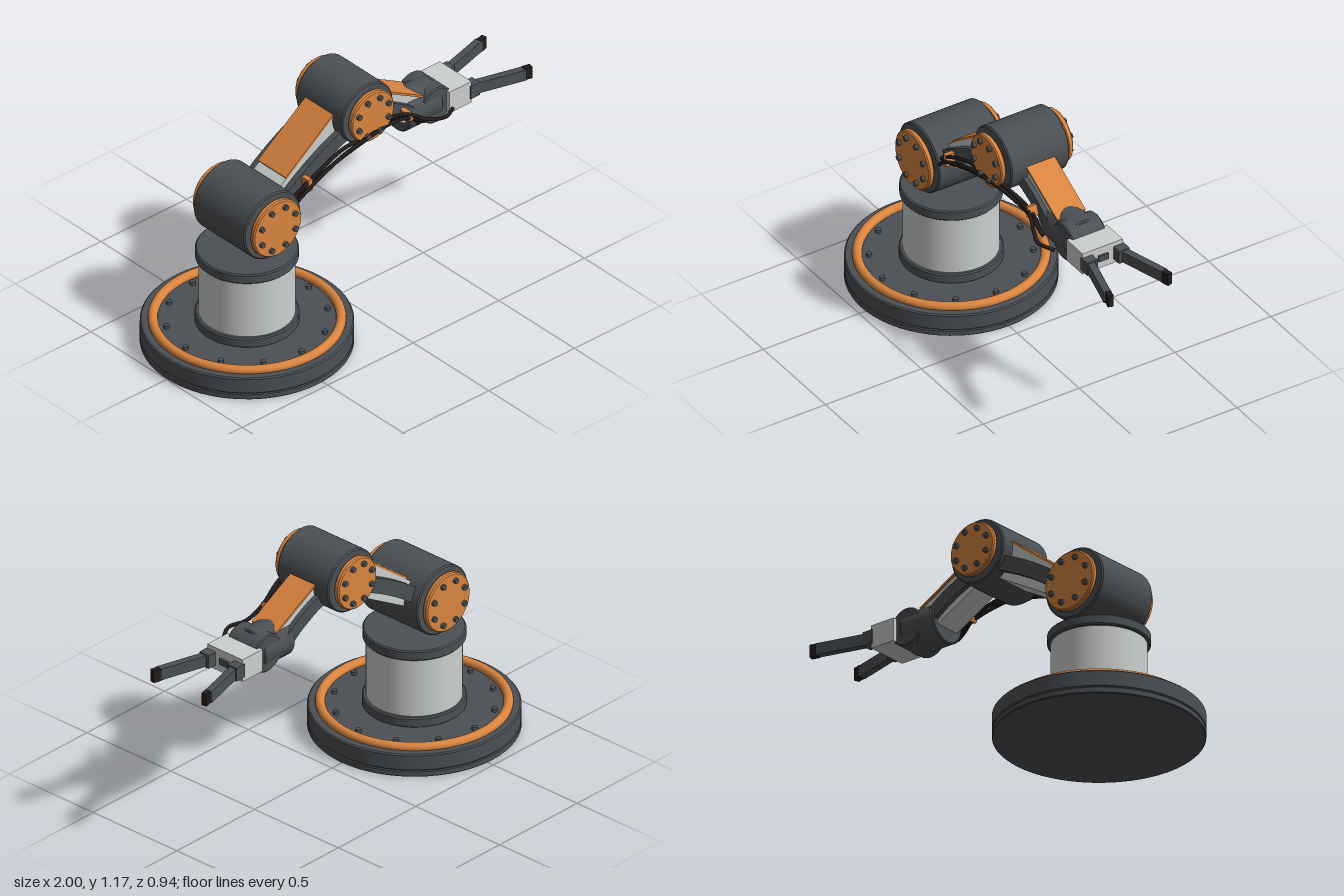
import * as THREE from 'three';

const mat = (name, color, side = THREE.FrontSide) => {
  const m = new THREE.MeshStandardMaterial({ color, side });
  m.name = name;
  return m;
};

export function createModel() {
  const dark = mat('dark grey', 0x4c5054);
  const silver = mat('silver', 0xccd0cf);
  const orange = mat('orange', 0xd9843f);
  const black = mat('cable black', 0x241c1c);

  const model = new THREE.Group();
  model.name = 'robotArm';

  const add = (parent, name, geo, material, x = 0, y = 0, z = 0) => {
    const m = new THREE.Mesh(geo, material);
    m.name = name;
    m.position.set(x, y, z);
    parent.add(m);
    return m;
  };
  const group = (parent, name, x = 0, y = 0, z = 0) => {
    const g = new THREE.Group();
    g.name = name;
    g.position.set(x, y, z);
    parent.add(g);
    return g;
  };
  const box = (w, h, d) => new THREE.BoxGeometry(w, h, d);

  // Disc with a small chamfer, centred on its own height; each profile segment is kept crisp
  const disc = (r, h, bevel = 0.006) => {
    const pts = [[0, -h / 2], [r - bevel, -h / 2], [r - bevel, -h / 2], [r, -h / 2 + bevel], [r, -h / 2 + bevel],
      [r, h / 2 - bevel], [r, h / 2 - bevel], [r - bevel, h / 2], [r - bevel, h / 2], [0, h / 2]];
    return new THREE.LatheGeometry(pts.map(p => new THREE.Vector2(...p)), 64);
  };
  const discZ = (r, h, bevel) => disc(r, h, bevel).rotateX(Math.PI / 2);
  const discX = (r, h, bevel) => disc(r, h, bevel).rotateZ(-Math.PI / 2);

  // Round base with orange ring, bolts and turret
  const base = group(model, 'base', -0.53);
  add(base, 'baseLower', disc(0.47, 0.03, 0.004), dark, 0, 0.015);
  add(base, 'basePlate', disc(0.47, 0.082), dark, 0, 0.071);
  add(base, 'baseRing', new THREE.TorusGeometry(0.413, 0.022, 16, 80).rotateX(Math.PI / 2), orange, 0, 0.119);
  for (let i = 0; i < 12; i++) {
    const a = i * Math.PI / 6;
    add(base, 'baseBolt', new THREE.CylinderGeometry(0.013, 0.013, 0.016, 12), dark,
      0.36 * Math.cos(a), 0.12, 0.36 * Math.sin(a));
  }
  add(base, 'columnCollar', disc(0.23, 0.05), dark, 0, 0.135);
  add(base, 'column', new THREE.CylinderGeometry(0.213, 0.213, 0.3, 64), silver, 0, 0.3);
  add(base, 'turretCap', disc(0.228, 0.05), dark, 0, 0.47);

  // Joint drum with a bolted cap on either end
  const joint = (name, x, y, r, half, capR, capOut, boltR) => {
    const g = group(model, name, x, y);
    add(g, name + 'Drum', discZ(r, half * 2), dark);
    add(g, name + 'Axle', discZ(capR * 0.8, capOut * 2 - 0.02), dark);
    for (const s of [-1, 1]) {
      add(g, name + 'Cap', discZ(capR, 0.028), orange, 0, 0, s * (capOut - 0.014));
      for (let i = 0; i < 8; i++) {
        const a = (i + 0.5) * Math.PI / 4;
        add(g, name + 'Bolt', new THREE.CylinderGeometry(0.013, 0.013, 0.02, 12).rotateX(Math.PI / 2), dark,
          boltR * Math.cos(a), boltR * Math.sin(a), s * (capOut + 0.004));
      }
    }
  };
  joint('shoulder', -0.53, 0.69, 0.165, 0.17, 0.14, 0.205, 0.105);
  joint('elbow', 0.04, 1.02, 0.15, 0.153, 0.125, 0.19, 0.093);

  // Side outline extruded across the arm, centred on z
  const slab = (shape, width) => new THREE.ExtrudeGeometry(shape, { depth: width, bevelEnabled: false, curveSegments: 16 })
    .translate(0, 0, -width / 2);
  const poly = pts => new THREE.Shape(pts.map(p => new THREE.Vector2(...p)));
  // Gently bowed rail running along the arm
  const bowed = (x0, x1, lo, hi, bow) => {
    const s = new THREE.Shape();
    s.moveTo(x0, lo);
    s.quadraticCurveTo((x0 + x1) / 2, lo + bow, x1, lo);
    s.lineTo(x1, hi);
    s.quadraticCurveTo((x0 + x1) / 2, hi + bow, x0, hi);
    return s;
  };

  // Upper arm: tapered silver body, orange cover, dark rails
  const upper = group(model, 'upperArm', -0.53, 0.69);
  upper.rotation.z = Math.PI / 6;
  add(upper, 'upperArmBody', slab(poly([[0.08, -0.075], [0.6, -0.075], [0.6, 0.095], [0.08, 0.03]]), 0.18), silver);
  add(upper, 'upperArmCover', slab(poly([[0.2, 0.045], [0.58, 0.0925], [0.58, 0.1025], [0.2, 0.055]]), 0.185), orange);
  for (const s of [-1, 1])
    add(upper, 'upperArmRail', slab(bowed(0.1, 0.58, -0.055, 0.015, 0.04), 0.03), dark, 0, 0, s * 0.115);

  // Forearm
  const fore = group(model, 'forearm', 0.04, 1.02);
  fore.rotation.z = -0.5;
  add(fore, 'forearmBody', box(0.36, 0.13, 0.13), silver, 0.25, 0.006);
  add(fore, 'forearmCover', box(0.33, 0.01, 0.148), orange, 0.245, 0.076);
  for (const s of [-1, 1])
    add(fore, 'forearmRail', slab(bowed(0.08, 0.42, -0.05, 0.015, 0.04), 0.025), dark, 0, 0, s * 0.075);

  // Wrist: a roll cylinder meeting a cross cylinder
  add(model, 'wristRoll', discX(0.097, 0.195), dark, 0.437, 0.818);
  add(model, 'wristPitch', discZ(0.09, 0.175), dark, 0.505, 0.82);

  // Gripper: palm and two splayed fingers
  const gripper = group(model, 'gripper', 0, 0.818);
  add(gripper, 'palm', box(0.13, 0.11, 0.21), silver, 0.625);
  add(gripper, 'palmSensor', box(0.02, 0.03, 0.05), dark, 0.69);
  for (const s of [-1, 1]) {
    add(gripper, 'fingerHinge', box(0.055, 0.066, 0.055), dark, 0.708, 0, s * 0.083);
    const finger = group(gripper, 'finger', 0.7, 0, s * 0.078);
    finger.rotation.y = -s * 0.27;
    add(finger, 'fingerBar', box(0.27, 0.055, 0.034), dark, 0.135);
    add(finger, 'fingerTip', box(0.04, 0.06, 0.026), black, 0.283, 0, -s * 0.004);
  }

  // Cables and their clips on the left side
  const cable = (...pts) => add(model, 'cable', new THREE.TubeGeometry(
    new THREE.CatmullRomCurve3(pts.map(p => new THREE.Vector3(...p))), 48, 0.009, 8), black);
  cable([-0.41, 0.71, 0.15], [-0.31, 0.8, 0.175], [-0.12, 0.885, 0.18], [0.03, 0.93, 0.195], [0.14, 0.93, 0.18],
    [0.3, 0.87, 0.135], [0.4, 0.8, 0.12]);
  cable([-0.4, 0.75, 0.14], [-0.31, 0.825, 0.165], [-0.12, 0.91, 0.17], [0.0, 0.93, 0.185], [0.15, 0.95, 0.17],
    [0.3, 0.89, 0.14], [0.38, 0.84, 0.16], [0.46, 0.83, 0.19], [0.54, 0.82, 0.15]);
  cable([-0.39, 0.73, 0.13], [-0.31, 0.785, 0.15], [-0.12, 0.865, 0.165], [0.06, 0.915, 0.175], [0.2, 0.925, 0.15],
    [0.31, 0.87, 0.12], [0.37, 0.8, 0.115]);
  add(model, 'upperCableClip', box(0.022, 0.06, 0.05), orange, -0.312, 0.807, 0.15).rotation.z = 0.05;
  add(model, 'forearmCableClip', box(0.022, 0.05, 0.05), orange, 0.3, 0.88, 0.118).rotation.z = 0.3;

  return model;
}
